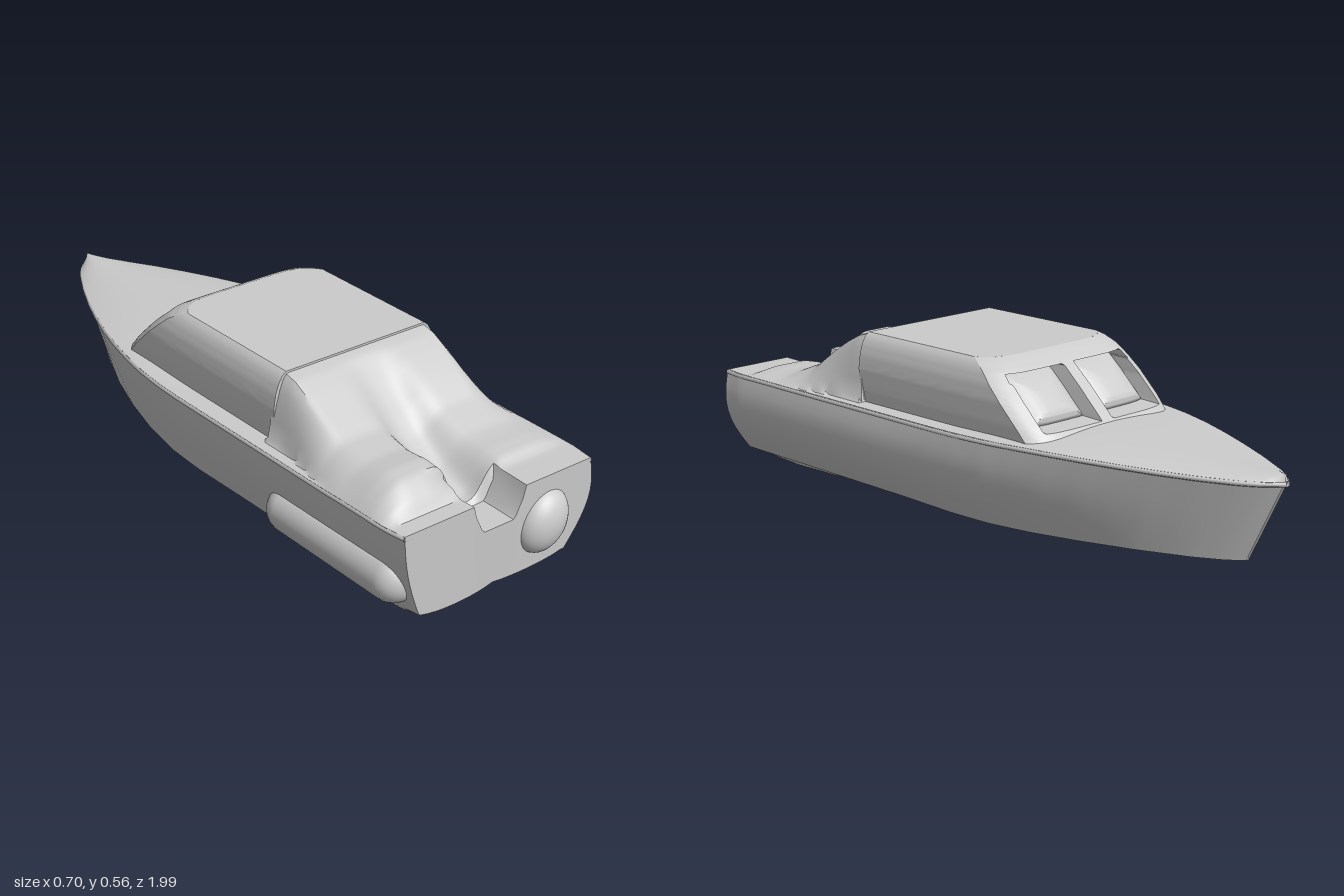
import * as THREE from 'three';
import { toCreasedNormals } from 'three/addons/utils/BufferGeometryUtils.js';

const material = new THREE.MeshStandardMaterial({ color: 0xcccccc, side: THREE.DoubleSide });
const lerp = THREE.MathUtils.lerp;
const smooth = THREE.MathUtils.smoothstep;

// Piecewise-linear lookup in a table of [key, value], keys descending
function table(points, k) {
  if (k >= points[0][0]) return points[0][1];
  for (let i = 1; i < points.length; i++) {
    const [k0, v0] = points[i - 1], [k1, v1] = points[i];
    if (k >= k1) return lerp(v0, v1, (k0 - k) / (k0 - k1));
  }
  return points[points.length - 1][1];
}

// Surface from f(a, b) -> [x, y, z], a and b in 0..1
function patch(name, na, nb, f) {
  const pos = [], index = [];
  for (let j = 0; j <= nb; j++) for (let i = 0; i <= na; i++) pos.push(...f(i / na, j / nb));
  for (let j = 0; j < nb; j++) for (let i = 0; i < na; i++) {
    const a = j * (na + 1) + i, d = a + na + 1;
    index.push(a, a + 1, d + 1, a, d + 1, d);
  }
  const g = new THREE.BufferGeometry();
  g.setAttribute('position', new THREE.Float32BufferAttribute(pos, 3));
  g.setIndex(index);
  return mesh(name, toCreasedNormals(g, 0.6));
}

function mesh(name, geometry) {
  const m = new THREE.Mesh(geometry, material);
  m.name = name;
  return m;
}

const topWidth = [[0.95, 0.327], [0.88, 0.338], [0, 0.342], [-0.1, 0.339], [-0.2, 0.33], [-0.3, 0.313],
  [-0.4, 0.29], [-0.5, 0.26], [-0.6, 0.224], [-0.7, 0.183], [-0.8, 0.137], [-0.9, 0.083], [-0.96, 0.04], [-0.99, 0.006]];
const bottomWidth = [[0.95, 0.26], [0, 0.27], [-0.15, 0.262], [-0.3, 0.238], [-0.45, 0.2],
  [-0.6, 0.15], [-0.75, 0.087], [-0.83, 0.042], [-0.87, 0.006]];
const podDepth = [[0.95, 0.015], [0.91, 0.055], [0.85, 0.088], [0.77, 0.1], [0.6, 0.09], [0.4, 0.055],
  [0.2, 0.022], [0, 0.005], [-0.1, 0]];
const aftHeight = [[0.9, 0.36], [0.875, 0.4], [0.83, 0.432], [0.78, 0.437], [0.7, 0.428], [0.6, 0.44],
  [0.52, 0.485], [0.46, 0.52], [0.41, 0.545], [0.36, 0.556]];
const valley = [[0.8, 1], [0.7, 0.75], [0.55, 0.25], [0.4, 0]];

// Deck: crowned foredeck, sloped two-lobed aft cover and a stern notch
function deckY(x, z, u) {
  let y = 0.36 - 0.02 * smooth(-z, 0.3, 1);
  y += 0.02 * (1 - u * u) * smooth(-z, 0, 0.3);
  if (z < 0.355) return y;
  const ax = Math.abs(x);
  if (z > 0.83 && ax < 0.09) return 0.27 + 0.06 * smooth(ax, 0.05, 0.09);
  const h = table(aftHeight, z) - (x > 0 ? 0.055 * smooth(z, 0.5, 0.8) * smooth(x, 0, 0.1) : 0);
  const aft = smooth(z, 0.4, 0.7);
  const edge = Math.sqrt(1 - smooth(ax, lerp(0.24, 0.22, aft), lerp(0.3, 0.34, aft)));
  const inner = z > 0.83 ? Math.sqrt(smooth(ax, 0.06, 0.18)) : 1;
  y += Math.max(0, h - y) * edge * inner;
  return lerp(y, 0.28, z > 0.83 ? 0 : table(valley, z) * Math.exp(-((ax / 0.075) ** 3)));
}

// Bottom: shallow belly amidships and two unequal rounded pods aft
function bottomY(x, z) {
  const pod = (c, depth) => table(podDepth, z) * depth * Math.max(0, 1 - ((x - c) / 0.135) ** 2) ** 0.7;
  const belly = 0.032 * Math.exp(-(((z + 0.1) / 0.22) ** 2)) * Math.exp(-((x / 0.18) ** 2));
  return 0.098 - Math.max(pod(-0.13, 0.98), pod(0.11, 0.58), belly);
}

// Hull point: t stern to bow, u right to left, v bottom to sheer
function hullPoint(t, u, v) {
  const zt = 0.955 - 1.945 * t, zb = 0.945 - 1.815 * t;
  const wt = table(topWidth, zt), wb = table(bottomWidth, zb);
  const swell = (u > 0 ? 0.042 : 0.012) * Math.sin(Math.PI * v) * smooth(zt, -0.95, 0.3);
  const x = u * (lerp(wb, wt, v) + swell);
  return [x, lerp(bottomY(u * wb, zb), deckY(u * wt, zt, u), v), lerp(zb, zt, v)];
}

function makeHull() {
  const hull = new THREE.Group();
  hull.name = 'hull';
  const U = (a) => 2 * a - 1;
  hull.add(
    patch('deck', 64, 150, (a, b) => hullPoint(b, U(a), 1)),
    patch('bottom', 120, 56, (a, b) => hullPoint(a, U(b), 0)),
    patch('leftSide', 120, 10, (a, b) => hullPoint(a, 1, b)),
    patch('rightSide', 10, 120, (a, b) => hullPoint(b, -1, a)),
    patch('transom', 64, 10, (a, b) => hullPoint(0, U(a), b)),
  );
  // Rub rails along the sheer
  for (const s of [-1, 1]) {
    const pts = [];
    for (let i = 0; i <= 40; i++) {
      const p = hullPoint(i / 40, s, 1);
      pts.push(new THREE.Vector3(p[0] - s * 0.003, p[1] - 0.007, p[2]));
    }
    hull.add(mesh('rubRail', new THREE.TubeGeometry(new THREE.CatmullRomCurve3(pts), 90, 0.008, 6)));
  }
  return hull;
}

const cabinWidth = [[0.56, 0.245], [0.55, 0.258], [0.53, 0.27], [0.5, 0.28], [0.46, 0.286], [0.4, 0.286], [0.34, 0.282]];
const cabinFront = [[0.56, -0.14], [0.55, -0.165], [0.53, -0.2], [0.47, -0.27], [0.4, -0.345], [0.34, -0.4]];

// Raked windscreen with two recessed, bulging panes and a centre pillar
function screenPoint(u, y) {
  const x = u * table(cabinWidth, y);
  let z = table(cabinFront, y) + 0.06 * Math.abs(u) ** 7;
  const r = Math.max(Math.abs(Math.abs(x) - 0.128) / 0.102, Math.abs(y - 0.455) / 0.066);
  if (r < 1) z += 0.025 + 0.04 * r ** 3;
  return [x, y, z];
}

function makeCabin() {
  const cabin = new THREE.Group();
  cabin.name = 'cabin';
  const Y = (b) => lerp(0.34, 0.56, b);
  const back = 0.37;
  const side = (s, a, b) => {
    const p = screenPoint(s, Y(b));
    return [p[0], p[1], lerp(back, p[2], a)];
  };
  cabin.add(
    patch('windscreen', 44, 80, (a, b) => screenPoint(2 * b - 1, Y(a))),
    patch('cabinLeftSide', 16, 22, (a, b) => side(1, a, b)),
    patch('cabinRightSide', 22, 16, (a, b) => side(-1, b, a)),
    patch('roof', 40, 8, (a, b) => {
      const p = screenPoint(2 * a - 1, 0.56);
      return [p[0], 0.56, lerp(back, p[2], b)];
    }),
    patch('cabinBack', 16, 22, (a, b) => [(2 * a - 1) * table(cabinWidth, Y(b)), Y(b), back]),
  );
  return cabin;
}

// Swelling pressed against the transom
function makeTransomBulge() {
  const bulge = mesh('transomBulge', new THREE.SphereGeometry(1, 32, 20));
  bulge.position.set(0.17, 0.22, 0.94);
  bulge.scale.set(0.078, 0.095, 0.06);
  bulge.rotation.z = -0.5;
  return bulge;
}

// Long rounded float on the right side
function makeSideFloat() {
  const float = mesh('rightSideFloat', new THREE.CapsuleGeometry(0.072, 0.42, 10, 28));
  float.rotation.x = Math.PI / 2;
  float.position.set(-0.272, 0.175, 0.645);
  return float;
}

export function createModel() {
  const boat = new THREE.Group();
  boat.name = 'boat';
  boat.add(makeHull(), makeCabin(), makeTransomBulge(), makeSideFloat());
  return boat;
}
